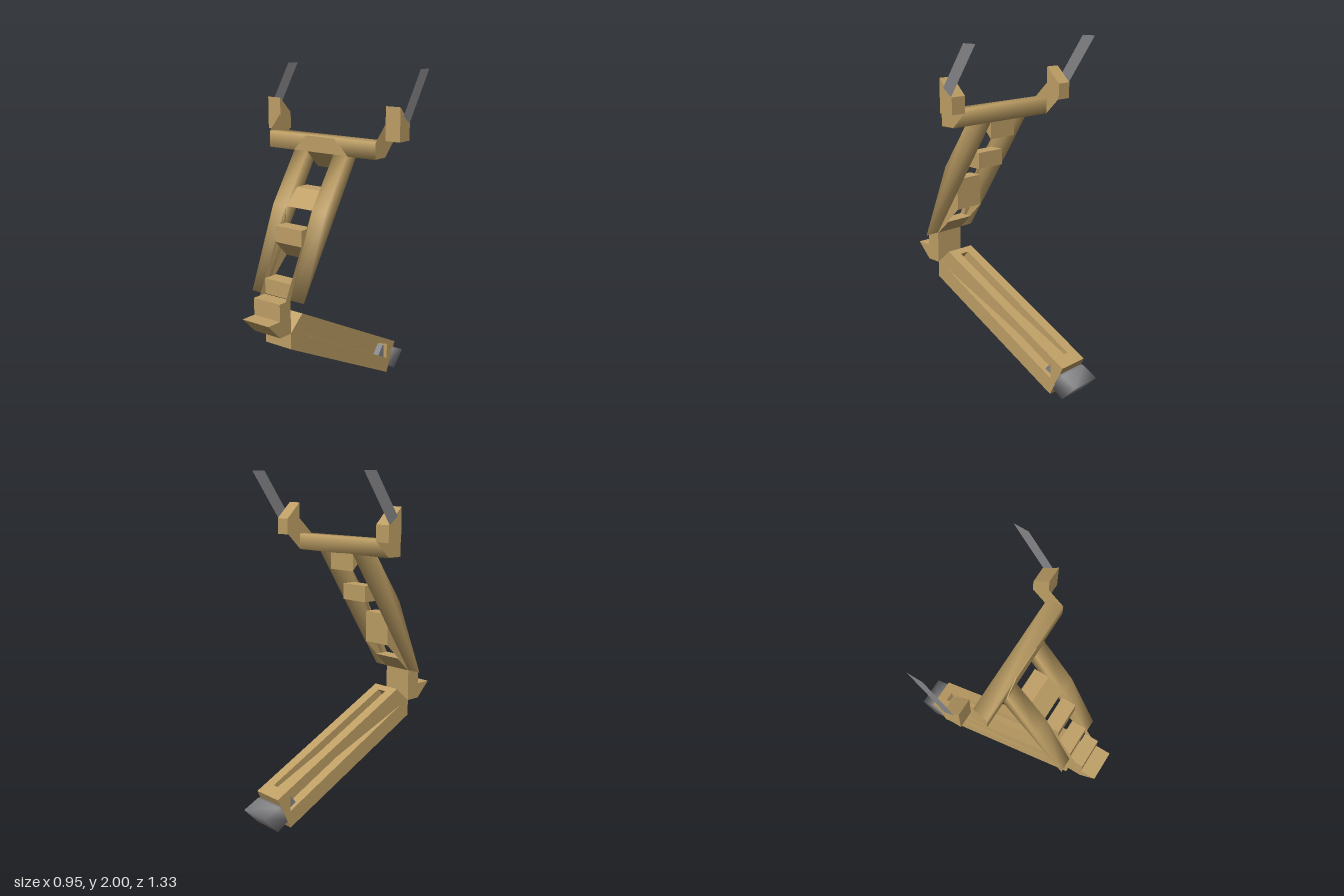
import * as THREE from 'three';
import { mergeVertices } from 'three/addons/utils/BufferGeometryUtils.js';

const tan = new THREE.MeshStandardMaterial({ color: 0xbfa066, side: THREE.DoubleSide });
const grey = new THREE.MeshStandardMaterial({ color: 0x858588, side: THREE.DoubleSide });

export function createModel() {
  const model = new THREE.Group();

  function add(name, geometry, material = tan) {
    const mesh = new THREE.Mesh(geometry, material);
    mesh.name = name;
    model.add(mesh);
    return mesh;
  }

  // shared corners give soft, rounded-looking shading
  function soften(g) {
    g.deleteAttribute('normal');
    g.deleteAttribute('uv');
    const merged = mergeVertices(g);
    merged.computeVertexNormals();
    return merged;
  }

  // side profile given as [z, y] points
  const outline = (pts) => pts.map(([z, y]) => new THREE.Vector2(-z, y));

  // profile stretched from x0 to x1, with an optional hole
  function slab(name, pts, x0, x1, material = tan, hole = null) {
    const shape = new THREE.Shape(outline(pts));
    if (hole) shape.holes.push(new THREE.Path(outline(hole)));
    const g = new THREE.ExtrudeGeometry(shape, { depth: x1 - x0, bevelEnabled: false });
    g.rotateY(Math.PI / 2).translate(x0, 0, 0);
    return add(name, g, material);
  }

  // flat sheet of the profile at one x
  function sheet(name, pts, x, material = tan) {
    const g = new THREE.ShapeGeometry(new THREE.Shape(outline(pts)));
    g.rotateY(Math.PI / 2).translate(x, 0, 0);
    return add(name, g, material);
  }

  const w = 0.095; // half width of the narrow parts

  // lower beam: two slotted cheeks around a sunken core
  const beam = [[0.48, 0.48], [0.48, 0.575], [0.38, 0.665], [-0.57, 0.19], [-0.48, 0]];
  const slot = [[0.41, 0.555], [-0.48, 0.2], [-0.48, 0.1]];
  slab('beamRightCheek', beam, -w, -0.03, tan, slot);
  slab('beamLeftCheek', beam, 0.03, w, tan, slot);
  slab('beamCore', [[0.48, 0.48], [0.48, 0.56], [0.4, 0.58], [-0.48, 0.205], [-0.48, 0]], -0.03, 0.03);
  slab('beamEndCap', [[-0.5, 0.225], [-0.57, 0.19], [-0.48, 0], [-0.46, 0.01]], -0.03, 0.03);
  slab('beamFrontCap', [[0.48, 0.5], [0.48, 0.575], [0.38, 0.665], [0.34, 0.645]], -0.03, 0.03);

  // grey foot and its stub seen through the slots
  const foot = slab('foot', [[-0.53, 0.15], [-0.57, 0.145], [-0.665, 0.1], [-0.57, 0], [-0.49, 0.05]], -w, w, grey);
  slab('footStub', [[-0.41, 0.12], [-0.47, 0.19], [-0.52, 0.16], [-0.49, 0.06]], -0.07, 0.07, grey);

  // knee joint
  slab('knee', [[0.48, 0.77], [0.57, 0.77], [0.57, 0.67], [0.665, 0.67], [0.57, 0.575], [0.48, 0.575]], -w, w);

  // ladder rungs between the rails
  const rungs = [
    [[0, 1.53], [0.095, 1.53], [0, 1.43]],
    [[0.1, 1.335], [0.19, 1.335], [0.285, 1.24], [0.1, 1.24]],
    [[0.29, 1.145], [0.38, 1.145], [0.38, 1.05], [0.29, 0.955]],
    [[0.38, 0.86], [0.475, 0.86], [0.475, 0.77]],
  ];
  rungs.forEach((pts, i) => slab(`rung${i + 1}`, pts, -w, w));

  // crossbar and the chamfered plate where the rails meet it
  const bar = add('crossbar', soften(new THREE.BoxGeometry(0.76, 0.095, 0.095)));
  bar.position.set(0, 1.575, 0.0475);
  const plate = new THREE.Shape([[-0.19, 1.53], [0.19, 1.53], [0.1, 1.62], [-0.1, 1.62]].map((p) => new THREE.Vector2(...p)));
  add('archPlate', new THREE.ExtrudeGeometry(plate, { depth: 0.01, bevelEnabled: false })).position.z = 0.09;

  for (const [side, s] of [['Right', -1], ['Left', 1]]) {
    const span = (a, b) => (s > 0 ? [a, b] : [-b, -a]);

    // rail, thickest in the middle, with a thin inner web down to the knee
    const rail = slab(`rail${side}`, [[0.095, 1.53], [0.29, 1.24], [0.48, 0.77], [0, 1.53]], ...span(w, 0.19));
    rail.geometry = soften(rail.geometry);
    sheet(`web${side}`, [[0.29, 1.24], [0.57, 0.67], [0.48, 0.77], [0.29, 0.955]], s * w);

    // thin link from the bar end to the slanted end block
    sheet(`link${side}`, [[0.095, 1.53], [0.095, 1.62], [0, 1.715], [-0.09, 1.62], [0, 1.53]], s * 0.381);
    slab(`endBlock${side}`, [[0, 1.81], [-0.095, 1.715], [-0.095, 1.62], [0, 1.62]], ...span(0.38, 0.475));

    // flat blade leaning back from the outer face of the block
    sheet(`blade${side}`, [[-0.19, 2], [-0.28, 2], [-0.09, 1.715], [-0.03, 1.76]], s * 0.476, grey);
  }

  foot.geometry = soften(foot.geometry);
  return model;
}
